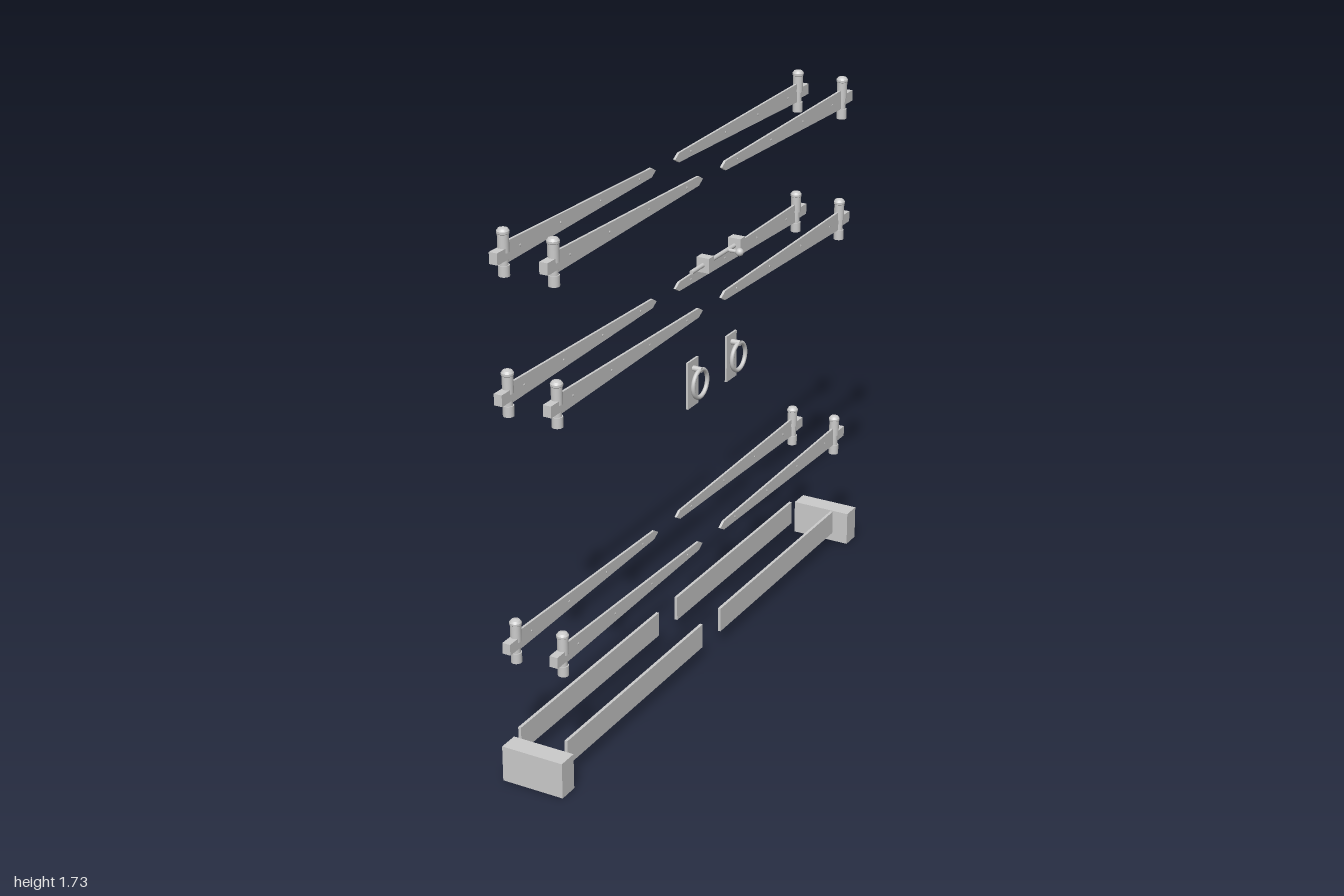
import * as THREE from 'three';

const mat = new THREE.MeshStandardMaterial({ color: 0xcccccc });
const SIDES_X = [-0.114, 0.05];

function add(parent, name, geo, x = 0, y = 0, z = 0) {
  const m = new THREE.Mesh(geo, mat);
  m.name = name;
  m.position.set(x, y, z);
  parent.add(m);
  return m;
}

// cylinder lying along the x axis
const rodX = (r, len, seg = 16) => new THREE.CylinderGeometry(r, r, len, seg).rotateZ(Math.PI / 2);

// tapered strap in the YZ plane, pointed at its inner end
function strapGeometry() {
  const s = new THREE.Shape();
  s.moveTo(-0.9, -0.032);
  s.lineTo(-0.085, -0.015);
  s.lineTo(-0.06, 0);
  s.lineTo(-0.085, 0.015);
  s.lineTo(-0.9, 0.032);
  s.closePath();
  const t = 0.008;
  return new THREE.ExtrudeGeometry(s, { depth: t, bevelEnabled: false })
    .translate(0, 0, -t / 2).rotateY(Math.PI / 2);
}

// turned hinge barrel: lower collar, waist, upper collar, domed cap
function barrelGeometry() {
  const p = [[0, -0.067], [0.017, -0.067], [0.017, -0.034], [0.0135, -0.034], [0.0135, 0.004],
    [0.017, 0.004], [0.017, 0.058], [0.019, 0.06], [0.019, 0.067], [0.014, 0.074], [0, 0.078]];
  const g = new THREE.LatheGeometry(p.map(([r, y]) => new THREE.Vector2(r, y)), 20).toNonIndexed();
  // facet the profile steps while keeping the round sides smooth
  const pos = g.attributes.position, n = g.attributes.normal;
  const a = new THREE.Vector3(), b = new THREE.Vector3(), c = new THREE.Vector3(), f = new THREE.Vector3();
  for (let i = 0; i < pos.count; i += 3) {
    a.fromBufferAttribute(pos, i);
    b.fromBufferAttribute(pos, i + 1);
    c.fromBufferAttribute(pos, i + 2);
    f.crossVectors(b.clone().sub(a), c.clone().sub(a)).normalize();
    const h = Math.hypot(f.x, f.z);
    [a, b, c].forEach((v, k) => {
      const r = Math.hypot(v.x, v.z);
      if (r > 1e-5) n.setXYZ(i + k, v.x / r * h, f.y, v.z / r * h);
      else n.setXYZ(i + k, f.x, f.y, f.z);
    });
  }
  return g;
}

export function createModel() {
  const root = new THREE.Group();
  root.name = 'doubleDoorHardware';
  const strap = strapGeometry();
  const barrel = barrelGeometry();
  const bracket = new THREE.BoxGeometry(0.027, 0.036, 0.058);
  const stud = new THREE.SphereGeometry(0.006, 10, 8);

  // strap hinges, four at each of three heights
  for (const y of [0.428, 1.229, 1.655]) {
    for (const x of SIDES_X) {
      for (const end of [0, Math.PI]) {
        const hinge = new THREE.Group();
        hinge.name = 'strapHinge';
        hinge.position.set(x, y, 0);
        hinge.rotation.y = end;
        add(hinge, 'hingeStrap', strap, 0, 0, 0);
        add(hinge, 'hingeBarrel', barrel, 0, 0, 0.905);
        add(hinge, 'hingeBracket', bracket, 0, 0, 0.929);
        for (const z of [0.16, 0.387, 0.61, 0.825]) add(hinge, 'strapStud', stud, 0, 0, z);
        root.add(hinge);
      }
    }
  }

  for (const s of [-1, 1]) {
    // kick plates and end blocks
    for (const x of SIDES_X) {
      add(root, 'kickPlate', new THREE.BoxGeometry(0.01, 0.084, 0.84), x, 0.09, s * 0.481);
    }
    add(root, 'endBlock', new THREE.BoxGeometry(0.21, 0.118, 0.066), -0.008, 0.059, s * 0.967);

    // ring pull handles
    const handle = new THREE.Group();
    handle.name = 'ringHandle';
    handle.position.set(0.053, 0, s * 0.126);
    add(handle, 'handlePlate', new THREE.BoxGeometry(0.007, 0.156, 0.066), 0, 1.01, 0);
    add(handle, 'handleRing', new THREE.TorusGeometry(0.045, 0.007, 12, 40).rotateY(Math.PI / 2), 0.028, 1.014, 0);
    add(handle, 'ringMount', rodX(0.009, 0.034), 0.017, 1.06, 0);
    root.add(handle);
  }

  // sliding bolt with two guide blocks and a knob
  const bolt = new THREE.Group();
  bolt.name = 'slidingBolt';
  bolt.position.set(0.072, 1.391, 0);
  add(bolt, 'boltRod', new THREE.CylinderGeometry(0.007, 0.007, 0.332, 16).rotateX(Math.PI / 2));
  for (const z of [0.078, -0.125]) add(bolt, 'boltGuide', new THREE.BoxGeometry(0.043, 0.048, 0.032), 0, 0, z);
  add(bolt, 'knobStem', rodX(0.006, 0.04), 0.02, 0, -0.064);
  add(bolt, 'knob', new THREE.SphereGeometry(0.013, 16, 12), 0.043, 0, -0.064);
  root.add(bolt);

  return root;
}
